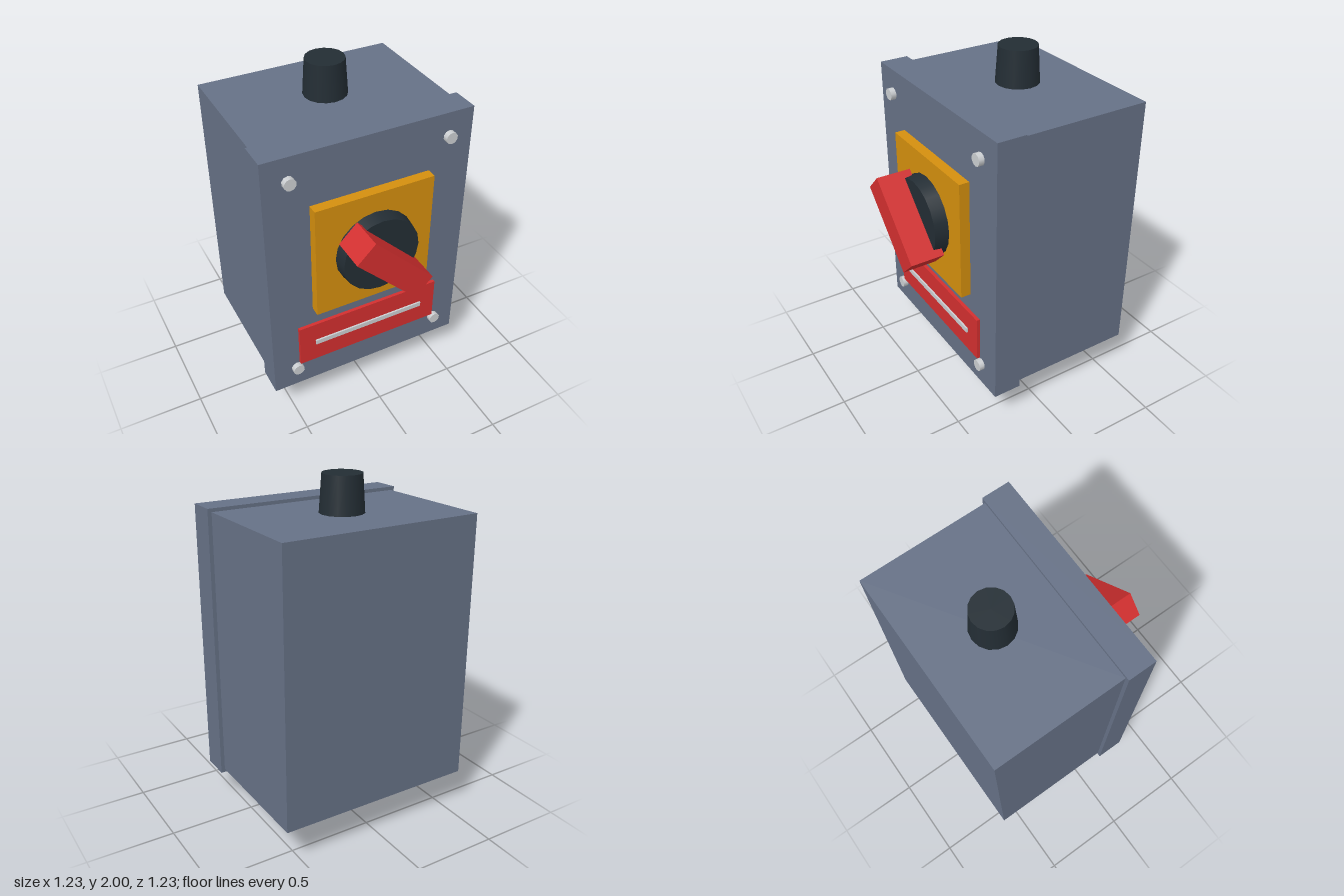
import * as THREE from 'three';

const material = (name, color) => {
  const m = new THREE.MeshStandardMaterial({ color });
  m.name = name;
  return m;
};

export function createModel() {
  const grey = material('enclosureGrey', 0x667186);
  const black = material('blackPlastic', 0x232d34);
  const yellow = material('yellow', 0xd48f0e);
  const red = material('red', 0xd32f2f);
  const silver = material('silver', 0xcccfd2);

  const model = new THREE.Group();
  model.name = 'switchBox';

  const add = (name, geometry, mat, x, y, z) => {
    const mesh = new THREE.Mesh(geometry, mat);
    mesh.name = name;
    mesh.position.set(x, y, z);
    model.add(mesh);
    return mesh;
  };
  // Box given by its extents along each axis
  const box = (name, mat, [x0, x1], [y0, y1], [z0, z1]) =>
    add(name, new THREE.BoxGeometry(x1 - x0, y1 - y0, z1 - z0), mat,
      (x0 + x1) / 2, (y0 + y1) / 2, (z0 + z1) / 2);
  // Cylinder along z, from z0 (back) to z1 (front)
  const disc = (name, mat, rFront, rBack, sides, x, y, z0, z1) =>
    add(name, new THREE.CylinderGeometry(rFront, rBack, z1 - z0, sides).rotateX(Math.PI / 2),
      mat, x, y, (z0 + z1) / 2);

  // Enclosure and its wider front cover
  box('enclosure', grey, [-0.592, 0.592], [0.218, 1.79], [-0.613, 0.152]);
  box('cover', grey, [-0.615, 0.615], [0.198, 1.81], [0.152, 0.32]);

  // Cable glands above and below, both tapering upwards
  for (const [name, y0, y1] of [['topGland', 1.76, 2], ['bottomGland', 0, 0.24]]) {
    add(name, new THREE.CylinderGeometry(0.112, 0.128, y1 - y0, 16), black, 0, (y0 + y1) / 2, -0.21);
  }

  // Rotary switch
  box('switchPlate', yellow, [-0.357, 0.357], [0.767, 1.482], [0.318, 0.38]);
  disc('knobBase', black, 0.23, 0.24, 20, 0, 1.125, 0.379, 0.46);
  const handle = box('knobHandle', red, [-0.259, 0.259], [1.05, 1.2], [0.412, 0.613]);
  handle.rotation.z = -Math.PI / 4;

  // Label plate with its strip
  box('labelPlate', red, [-0.453, 0.453], [0.375, 0.652], [0.318, 0.34]);
  box('labelStrip', silver, [-0.354, 0.354], [0.5, 0.53], [0.338, 0.35]);

  // Cover screws
  for (const x of [-0.47, 0.47]) {
    for (const y of [0.341, 1.667]) {
      disc('coverScrew', silver, 0.035, 0.035, 10, x, y, 0.318, 0.352);
    }
  }

  return model;
}
